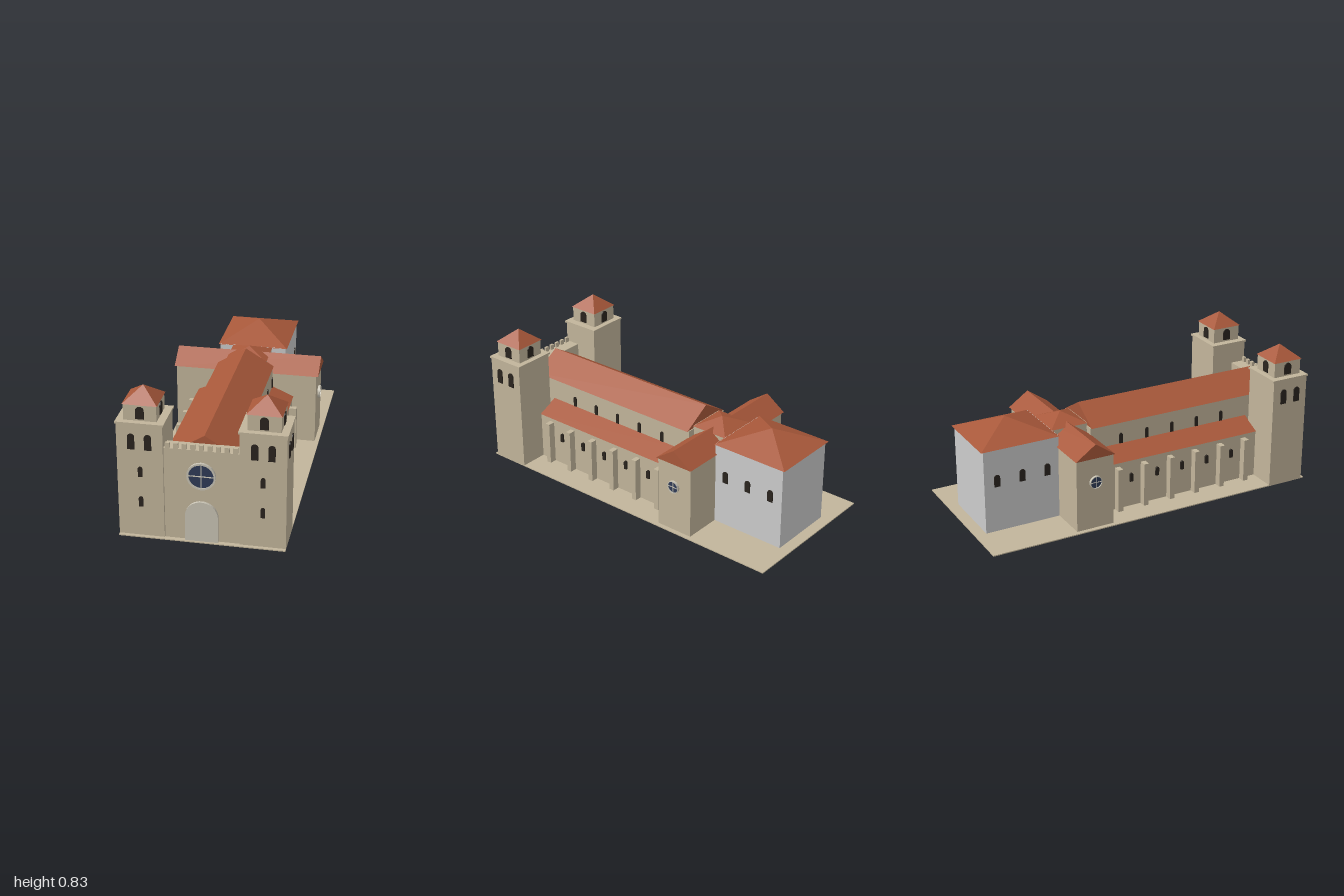
import * as THREE from 'three';

const mat = (color) => new THREE.MeshStandardMaterial({ color, flatShading: true });
const stone = mat(0xc2b59b), tile = mat(0xa8583a), dark = mat(0x2a241e);
const glass = mat(0x2f3b57), pale = mat(0xc8c3b4), grey = mat(0xcccccc);

export function createModel() {
  const model = new THREE.Group();

  const add = (name, geometry, material, parent = model) => {
    const mesh = new THREE.Mesh(geometry, material);
    mesh.name = name;
    parent.add(mesh);
    return mesh;
  };
  // Box given by its limits on each axis
  const box = (name, [x0, x1], [y0, y1], [z0, z1], material = stone, parent = model) => {
    const mesh = add(name, new THREE.BoxGeometry(x1 - x0, y1 - y0, z1 - z0), material, parent);
    mesh.position.set((x0 + x1) / 2, (y0 + y1) / 2, (z0 + z1) / 2);
    return mesh;
  };
  // Four-sided roof centred on x, z
  const pyramid = (name, x, z, w, d, y0, y1, parent = model) => {
    const g = new THREE.ConeGeometry(Math.SQRT1_2, 1, 4).rotateY(Math.PI / 4);
    const mesh = add(name, g.scale(w, y1 - y0, d), tile, parent);
    mesh.position.set(x, (y0 + y1) / 2, z);
  };
  // Solid with a constant cross-section, running along z
  const prism = (name, points, z0, z1) => {
    const shape = new THREE.Shape(points.map(([x, y]) => new THREE.Vector2(x, y)));
    const g = new THREE.ExtrudeGeometry(shape, { depth: z1 - z0, bevelEnabled: false });
    return add(name, g.translate(0, 0, z0), tile);
  };
  // Round-headed panel standing on its base point, facing the angle "turn"
  const arch = (name, w, h, [x, y, z], turn = 0, material = dark, parent = model, depth = 0.012) => {
    const r = w / 2, s = new THREE.Shape();
    s.moveTo(-r, 0);
    s.lineTo(r, 0);
    s.lineTo(r, h - r);
    s.absarc(0, h - r, r, 0, Math.PI, false);
    s.closePath();
    const g = new THREE.ExtrudeGeometry(s, { depth, bevelEnabled: false, curveSegments: 10 });
    const mesh = add(name, g.translate(0, 0, -depth / 2), material, parent);
    mesh.position.set(x, y, z);
    mesh.rotation.y = turn;
  };
  // Round window: stone ring, glass disc and a cross of bars
  const rose = (name, radius, inner, [x, y, z], turn) => {
    const group = new THREE.Group();
    group.name = name;
    const ring = new THREE.Shape().absarc(0, 0, radius, 0, Math.PI * 2, false);
    ring.holes.push(new THREE.Path().absarc(0, 0, inner, 0, Math.PI * 2, true));
    add('roseRing', new THREE.ExtrudeGeometry(ring, { depth: 0.014, bevelEnabled: false, curveSegments: 12 }), pale, group);
    add('roseGlass', new THREE.CylinderGeometry(inner, inner, 0.008, 24).rotateX(Math.PI / 2), glass, group).position.z = 0.004;
    const t = radius * 0.03;
    box('roseBar', [-inner, inner], [-t, t], [0.006, 0.012], pale, group);
    box('roseBar', [-t, t], [-inner, inner], [0.006, 0.012], pale, group);
    group.position.set(x, y, z);
    group.rotation.y = turn;
    model.add(group);
  };

  box('groundSlab', [-0.445, 0.445], [0, 0.006], [-1, 1]);

  // Facade with battlements, door and round window
  box('facadeWall', [-0.198, 0.198], [0, 0.532], [0.89, 0.975]);
  for (let i = -4; i <= 4; i++) {
    const x = i * 0.0445;
    box('merlon', [x - 0.012, x + 0.012], [0.532, 0.562], [0.96, 0.975]);
  }
  arch('mainDoor', 0.176, 0.233, [0, 0.006, 0.975], 0, pale, model, 0.03);
  rose('facadeRose', 0.077, 0.067, [0, 0.388, 0.975], 0);

  // Nave
  box('naveWalls', [-0.16, 0.16], [0, 0.477], [-0.27, 0.89]);
  prism('naveRoof', [[-0.167, 0.475], [0.167, 0.475], [0, 0.577]], -0.265, 0.892);

  const windowZ = [0.587, 0.42, 0.255, 0.09, -0.078, -0.245];
  const buttressZ = [0.67, 0.505, 0.335, 0.17, 0, -0.165];
  for (const s of [-1, 1]) {
    const span = (a, b) => (s > 0 ? [a, b] : [-b, -a]);
    const out = s * Math.PI / 2;

    // Side aisle with buttresses and two rows of windows
    box('aisleWall', span(0.155, 0.28), [0, 0.292], [-0.27, 0.76]);
    const section = [[0.155, 0.29], [0.287, 0.29], [0.155, 0.348]].map(([x, y]) => [s * x, y]);
    prism('aisleRoof', section, -0.27, 0.76);
    for (const z of buttressZ) box('buttress', span(0.275, 0.322), [0, 0.265], [z - 0.015, z + 0.015]);
    for (const z of windowZ) {
      arch('aisleWindow', 0.02, 0.052, [s * 0.281, 0.16, z], out, dark, model, 0.02);
      arch('clerestoryWindow', 0.02, 0.062, [s * 0.16, 0.348, z], out);
    }

    // Corner tower
    const tower = new THREE.Group();
    tower.name = s > 0 ? 'leftTower' : 'rightTower';
    model.add(tower);
    const cx = s * 0.3225, cz = 0.869;
    box('towerBody', span(0.2, 0.445), [0, 0.655], [0.757, 0.981], stone, tower);
    box('towerCornice', span(0.193, 0.45), [0.653, 0.664], [0.75, 0.988], stone, tower);
    box('belfry', span(0.235, 0.41), [0.664, 0.755], [0.782, 0.956], stone, tower);
    pyramid('towerRoof', cx, cz, 0.186, 0.186, 0.753, 0.83, tower);
    for (let k = 0; k < 4; k++) {
      const a = k * Math.PI / 2;
      arch('belfryOpening', 0.045, 0.068, [cx + Math.sin(a) * 0.0875, 0.675, cz + Math.cos(a) * 0.087], a, dark, tower);
    }
    for (const d of [-0.0445, 0.0445]) {
      arch('towerWindow', 0.037, 0.088, [cx + d, 0.512, 0.981], 0, dark, tower);
      arch('towerWindow', 0.037, 0.088, [s * 0.445, 0.512, cz + d], out, dark, tower);
    }
    for (const y of [0.18, 0.355]) arch('towerSlit', 0.023, 0.058, [cx, y, 0.981], 0, dark, tower);

    // Transept end and apse windows
    rose('transeptRose', 0.037, 0.033, [s * 0.42, 0.285, -0.376], out);
    for (const z of [-0.56, -0.71, -0.86]) arch('apseWindow', 0.034, 0.07, [s * 0.2, 0.275, z], out);
  }

  // Transept and crossing
  box('transeptWalls', [-0.42, 0.42], [0, 0.432], [-0.49, -0.265]);
  prism('transeptRoof', [[-0.12, 0.43], [0.12, 0.43], [0, 0.513]], -0.432, 0.432).rotation.y = Math.PI / 2;
  model.children.at(-1).position.z = -0.379;
  box('crossingWalls', [-0.115, 0.115], [0.4, 0.496], [-0.49, -0.268]);
  pyramid('crossingRoof', 0, -0.379, 0.24, 0.225, 0.494, 0.547);

  // Apse block
  box('apseWalls', [-0.2, 0.2], [0, 0.497], [-0.935, -0.488], grey);
  pyramid('apseRoof', 0, -0.717, 0.42, 0.465, 0.495, 0.587);

  return model;
}
